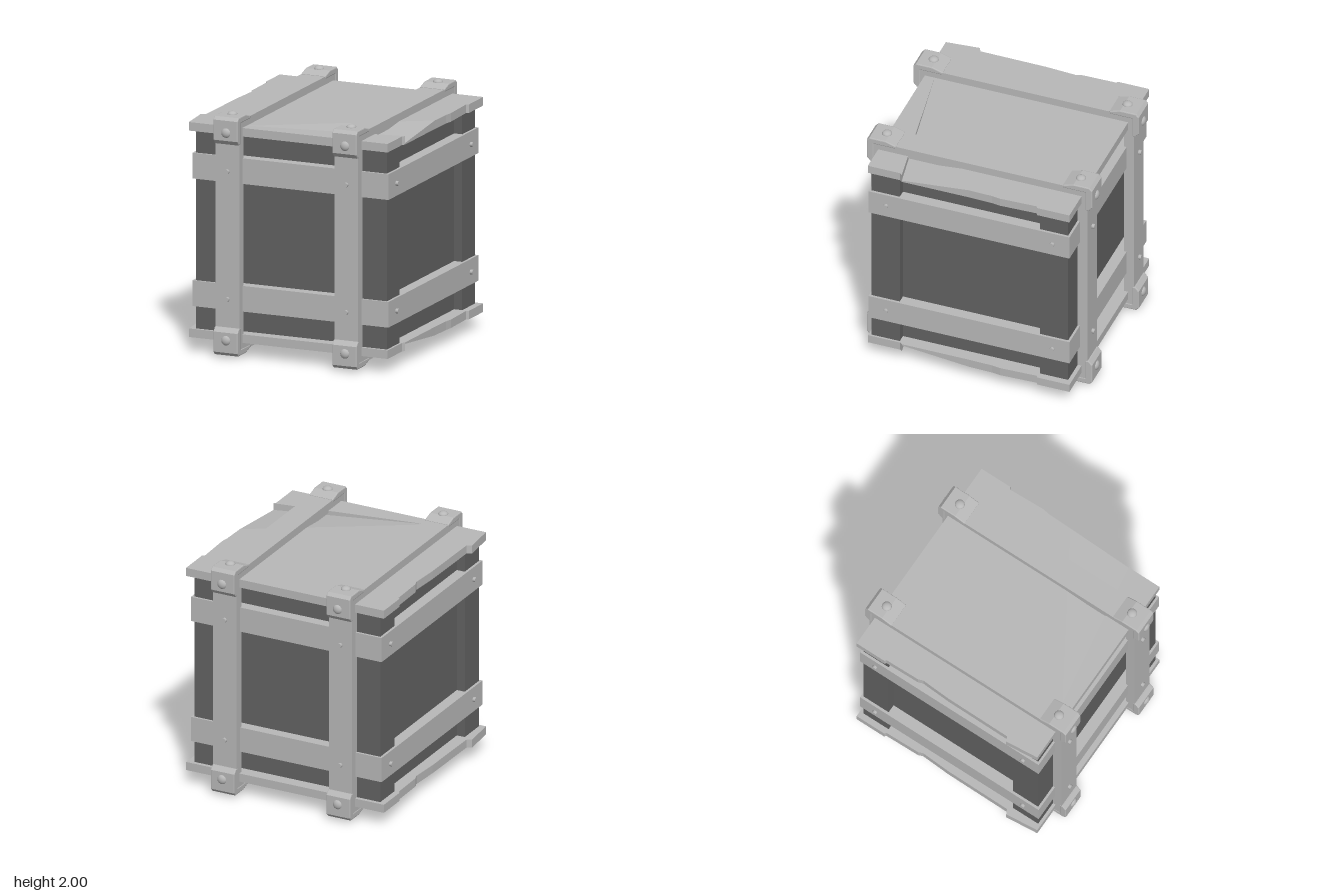
import * as THREE from 'three';
import { ConvexGeometry } from 'three/addons/geometries/ConvexGeometry.js';

export function createModel() {
  const model = new THREE.Group();
  model.name = 'crate';
  const light = new THREE.MeshStandardMaterial({ color: 0xb8b8b8 });
  light.name = 'light grey';
  const dark = new THREE.MeshStandardMaterial({ color: 0x626262 });
  dark.name = 'dark grey';

  const add = (parent, name, geometry, material, x = 0, y = 0, z = 0) => {
    const mesh = new THREE.Mesh(geometry, material);
    mesh.name = name;
    mesh.position.set(x, y, z);
    parent.add(mesh);
    return mesh;
  };
  const toShape = (points) => new THREE.Shape(points.map(([a, b]) => new THREE.Vector2(a, b)));
  // Extrudes a (z, y) profile along x, centred on x = 0
  const extrudeX = (shape, width, bevel = 0) => new THREE.ExtrudeGeometry(shape, {
    depth: width - 2 * bevel, bevelEnabled: bevel > 0, bevelThickness: bevel,
    bevelSize: bevel, bevelOffset: -bevel, bevelSegments: 2,
  }).translate(0, 0, bevel - width / 2).rotateY(-Math.PI / 2);

  const cx = 0.006, cz = 0.004;

  // Recessed panels and corner posts
  add(model, 'panels', new THREE.BoxGeometry(1.53, 1.64, 1.53), dark, cx, 1, cz);
  const post = new THREE.BoxGeometry(0.24, 1.64, 0.24);
  for (const sx of [-1, 1]) for (const sz of [-1, 1]) {
    add(model, 'cornerPost', post, dark, cx + sx * 0.716, 1, cz + sz * 0.716);
  }

  // Horizontal bands with nails on the sides
  const nail = new THREE.CylinderGeometry(0.02, 0.02, 0.05, 10);
  for (const y of [0.48, 1.525]) {
    add(model, 'band', new THREE.BoxGeometry(1.715, 0.21, 1.71), light, cx, y, cz);
    for (const sx of [-1, 1]) for (const z of [-0.705, 0.71]) {
      add(model, 'sideNail', nail, light, cx + sx * 0.855, y, z).rotation.z = Math.PI / 2;
    }
  }

  // Lid and base boards with chipped ends and one sunken split
  const outline = [
    [-0.88, -0.865], [0.9, -0.865], [0.9, -0.59], [0.88, -0.58], [0.89, -0.27], [0.88, -0.2],
    [0.875, 0], [-0.4, 0.78], [0.875, 0.57], [0.86, 0.59], [0.86, 0.865],
    [-0.88, 0.865], [-0.905, 0.585], [-0.865, 0.565], [-0.86, 0],
    [-0.845, -0.25], [-0.86, -0.29], [-0.865, -0.59], [-0.88, -0.6],
  ];
  const t = 0.07;
  const boardGeo = new THREE.ExtrudeGeometry(toShape(outline), { depth: t, bevelEnabled: false })
    .rotateX(Math.PI / 2).translate(0, t, 0);
  const splitGeo = new ConvexGeometry([
    [-0.4, 0, 0.78], [-0.4, t, 0.78], [0.875, 0, 0], [0.875, t, 0], [0.875, 0, 0.57], [0.875, 0.012, 0.57],
  ].map((p) => new THREE.Vector3(...p)));
  for (const s of [-1, 1]) {
    const boards = new THREE.Group();
    boards.name = s > 0 ? 'lid' : 'base';
    add(boards, 'board', boardGeo, light);
    add(boards, 'splitBoard', splitGeo, light);
    boards.position.y = 1 + s * 0.81;
    boards.scale.y = s;
    model.add(boards);
  }

  // Strap loops running round the crate, with brackets and bolts
  const rect = (z, y) => [[-z, -y], [z, -y], [z, y], [-z, y]];
  const loop = toShape(rect(0.92, 0.945));
  loop.holes.push(new THREE.Path(rect(0.835, 0.86).map(([a, b]) => new THREE.Vector2(a, b))));
  const strapGeo = extrudeX(loop, 0.208);
  const bracketGeo = extrudeX(toShape([
    [0.71, 0.925], [0.9, 0.925], [0.9, 0.75], [0.93, 0.75], [0.96, 0.785],
    [0.96, 0.95], [0.936, 0.976], [0.8, 0.976], [0.71, 0.948],
  ]), 0.214, 0.008);
  const boltGeo = new THREE.SphereGeometry(0.041, 14, 5, 0, Math.PI * 2, 0, Math.PI / 2).scale(1, 0.62, 1);

  for (const x of [-0.515, 0.525]) {
    const strap = new THREE.Group();
    strap.name = 'strap';
    strap.position.set(x, 1, cz);
    model.add(strap);
    add(strap, 'strapLoop', strapGeo, light);
    for (const sz of [-1, 1]) {
      for (const y of [-0.52, 0.525]) {
        add(strap, 'strapNail', nail, light, 0, y, sz * 0.918).rotation.x = Math.PI / 2;
      }
      for (const sy of [-1, 1]) {
        const corner = new THREE.Group();
        corner.name = 'corner';
        corner.scale.set(1, sy, sz);
        strap.add(corner);
        add(corner, 'bracket', bracketGeo, light);
        add(corner, 'outerBolt', boltGeo, light, 0, 0.975, 0.825);
        add(corner, 'faceBolt', boltGeo, light, 0.005, 0.85, 0.955).rotation.x = Math.PI / 2;
      }
    }
  }
  return model;
}
